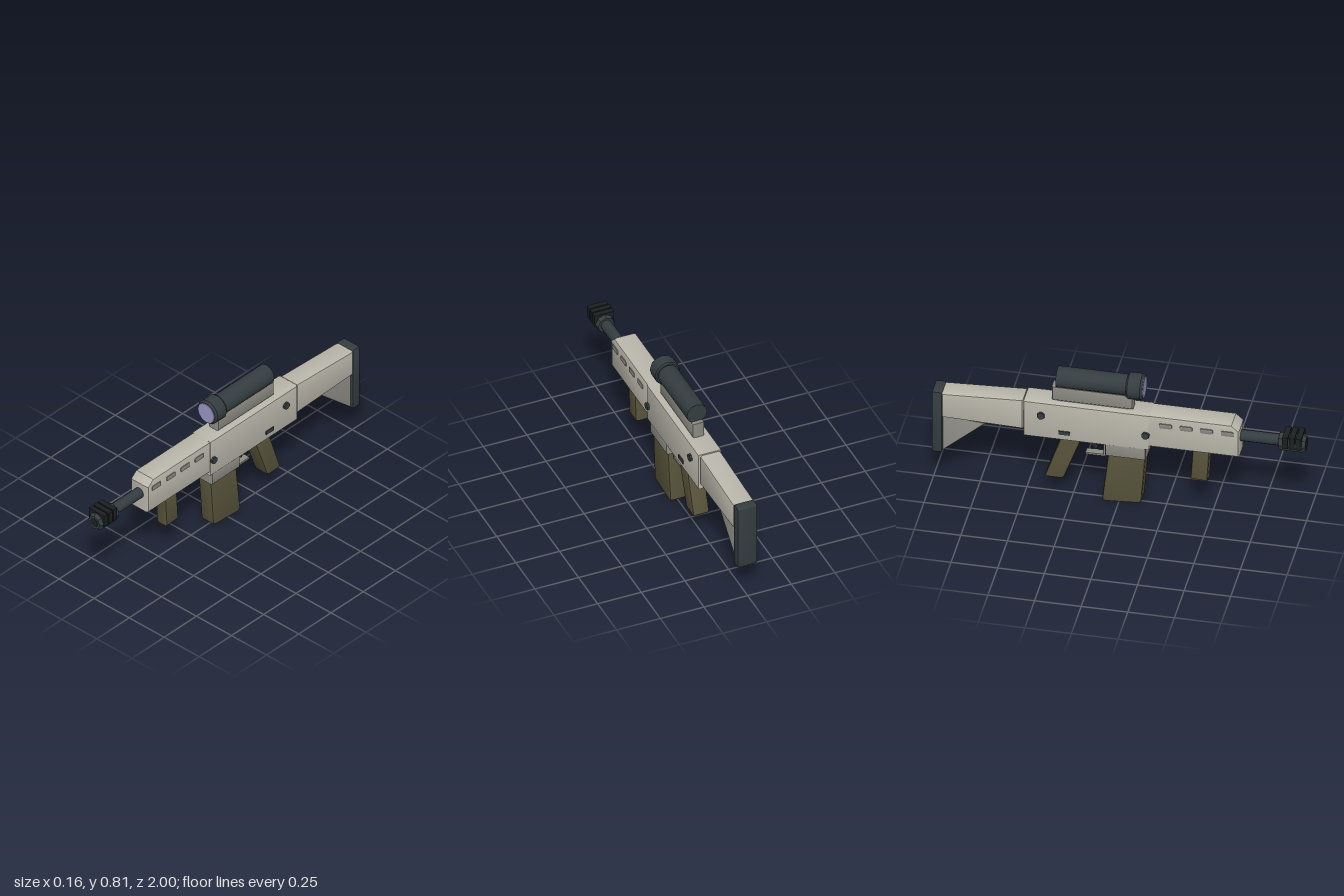
import * as THREE from 'three';
import { toCreasedNormals } from 'three/addons/utils/BufferGeometryUtils.js';

const paint = (name, color) => {
  const m = new THREE.MeshStandardMaterial({ color });
  m.name = name;
  return m;
};

export function createModel() {
  const model = new THREE.Group();
  model.name = 'toyRifle';
  const shell = paint('paleShell', 0xbab7ab);
  const grey = paint('warmGrey', 0x8c8b83);
  const dark = paint('darkSlate', 0x343d40);
  const olive = paint('olive', 0x57533a);
  const black = paint('black', 0x1d2021);
  const glass = paint('lilacGlass', 0x9c97c6);

  const add = (name, geo, mat, x = 0, y = 0, z = 0) => {
    const mesh = new THREE.Mesh(geo, mat);
    mesh.name = name;
    mesh.position.set(x, y, z);
    model.add(mesh);
    return mesh;
  };

  // Side outline of [z, y] corners, rounded by r, extruded across x with bevelled edges
  const slab = (name, pts, half, mat, bevel = 0.012, r = 0, x = 0) => {
    const v = pts.map(p => new THREE.Vector2(...p));
    const shape = new THREE.Shape();
    v.forEach((p, i) => {
      const prev = v[(i + v.length - 1) % v.length];
      const next = v[(i + 1) % v.length];
      const a = p.clone().add(prev.clone().sub(p).setLength(r));
      const b = p.clone().add(next.clone().sub(p).setLength(r));
      if (i === 0) shape.moveTo(a.x, a.y); else shape.lineTo(a.x, a.y);
      if (r > 0) shape.quadraticCurveTo(p.x, p.y, b.x, b.y);
    });
    shape.closePath();
    const depth = 2 * (half - bevel);
    const geo = new THREE.ExtrudeGeometry(shape, {
      depth, curveSegments: 3, bevelEnabled: bevel > 0, bevelSize: bevel,
      bevelThickness: bevel, bevelOffset: -bevel, bevelSegments: 2,
    });
    geo.translate(0, 0, -depth / 2).rotateY(-Math.PI / 2);
    return add(name, toCreasedNormals(geo, 0.6), mat, x);
  };
  const rect = (z0, z1, y0, y1) => [[z0, y0], [z1, y0], [z1, y1], [z0, y1]];

  // Solid of revolution about z from [radius, z] points, back to front
  const turned = (name, pts, sides, mat, y) => {
    const geo = new THREE.LatheGeometry(pts.map(p => new THREE.Vector2(...p)), sides);
    geo.rotateX(Math.PI / 2);
    return add(name, toCreasedNormals(geo, 0.6), mat, 0, y, 0);
  };

  // Main body
  slab('handguard', [[0.16, 0.4], [0.65, 0.4], [0.65, 0.565], [0.61, 0.6], [0.16, 0.6]], 0.065, shell, 0.016);
  slab('receiver', rect(-0.505, 0.17, 0.378, 0.6), 0.068, shell, 0.01);
  slab('stock', [[-0.945, 0.425], [-0.51, 0.413], [-0.51, 0.597], [-0.945, 0.575]], 0.06, shell, 0.012);
  slab('stockBrace', [[-0.945, 0.2], [-0.945, 0.425], [-0.715, 0.405]], 0.04, grey, 0.004);
  slab('buttPad', rect(-1, -0.943, 0.195, 0.582), 0.058, dark, 0.011, 0.014);

  // Grips and magazine
  slab('magazineWell', rect(-0.07, 0.148, 0.303, 0.385), 0.06, grey, 0.012);
  slab('magazine', [[0.145, 0.32], [0.122, 0.013], [-0.09, 0], [-0.055, 0.32]], 0.045, olive, 0.012, 0.022);
  slab('pistolGrip', [[-0.195, 0.39], [-0.295, 0.115], [-0.398, 0.115], [-0.305, 0.39]], 0.047, olive, 0.012, 0.016);
  slab('foreGrip', [[0.487, 0.405], [0.475, 0.2], [0.383, 0.205], [0.396, 0.405]], 0.037, olive, 0.012);

  // Trigger and its guard
  slab('triggerGuard', [[-0.072, 0.385], [-0.072, 0.274], [-0.182, 0.274], [-0.182, 0.285], [-0.084, 0.285], [-0.084, 0.385]], 0.02, grey, 0);
  slab('trigger', [[-0.138, 0.385], [-0.14, 0.345], [-0.122, 0.31], [-0.13, 0.307], [-0.15, 0.34], [-0.156, 0.385]], 0.012, dark, 0);

  // Barrel and muzzle brake
  turned('barrel', [[0, 0.6], [0.031, 0.6], [0.031, 0.87], [0, 0.87]], 12, dark, 0.503);
  turned('muzzle', [[0, 0.855], [0.046, 0.855], [0.051, 0.862], [0.051, 0.985], [0.04, 1], [0, 1]], 8, dark, 0.5);
  turned('bore', [[0, 0.99], [0.027, 0.99], [0.027, 1.002], [0, 1.002]], 8, black, 0.5);
  for (const z of [0.967, 0.931, 0.895]) {
    add('muzzleVent', new THREE.BoxGeometry(0.11, 0.07, 0.029), black, 0, 0.523, z);
  }

  // Scope
  slab('scopeMount', rect(-0.36, 0.075, 0.604, 0.692), 0.036, grey, 0.013);
  slab('mountRail', rect(-0.33, 0.05, 0.59, 0.615), 0.025, grey, 0);
  turned('scopeTube', [[0, -0.335], [0.058, -0.335], [0.058, 0.06], [0, 0.06]], 12, dark, 0.738);
  turned('scopeBell', [[0.05, 0.042], [0.066, 0.042], [0.072, 0.05], [0.072, 0.118], [0.062, 0.13], [0, 0.13]], 12, dark, 0.737);
  turned('scopeLens', [[0.058, 0.128], [0.057, 0.133], [0, 0.133]], 24, glass, 0.737);

  // Details repeated on both sides
  for (const s of [-1, 1]) {
    for (const z of [0.588, 0.477, 0.367, 0.257]) {
      slab('handguardSlot', rect(z - 0.034, z + 0.034, 0.532, 0.561), 0.006, grey, 0.003, 0.008, s * 0.064);
    }
    for (const [z, y] of [[0.15, 0.476], [-0.41, 0.524]]) {
      const pin = new THREE.CylinderGeometry(0.021, 0.021, 0.02, 8);
      pin.rotateZ(Math.PI / 2).rotateX(Math.PI / 8);
      add('pin', toCreasedNormals(pin, 0.6), dark, s * 0.07, y, z);
    }
    slab('selector', rect(-0.317, -0.254, 0.415, 0.438), 0.008, dark, 0.003, 0.005, s * 0.066);
  }
  return model;
}
